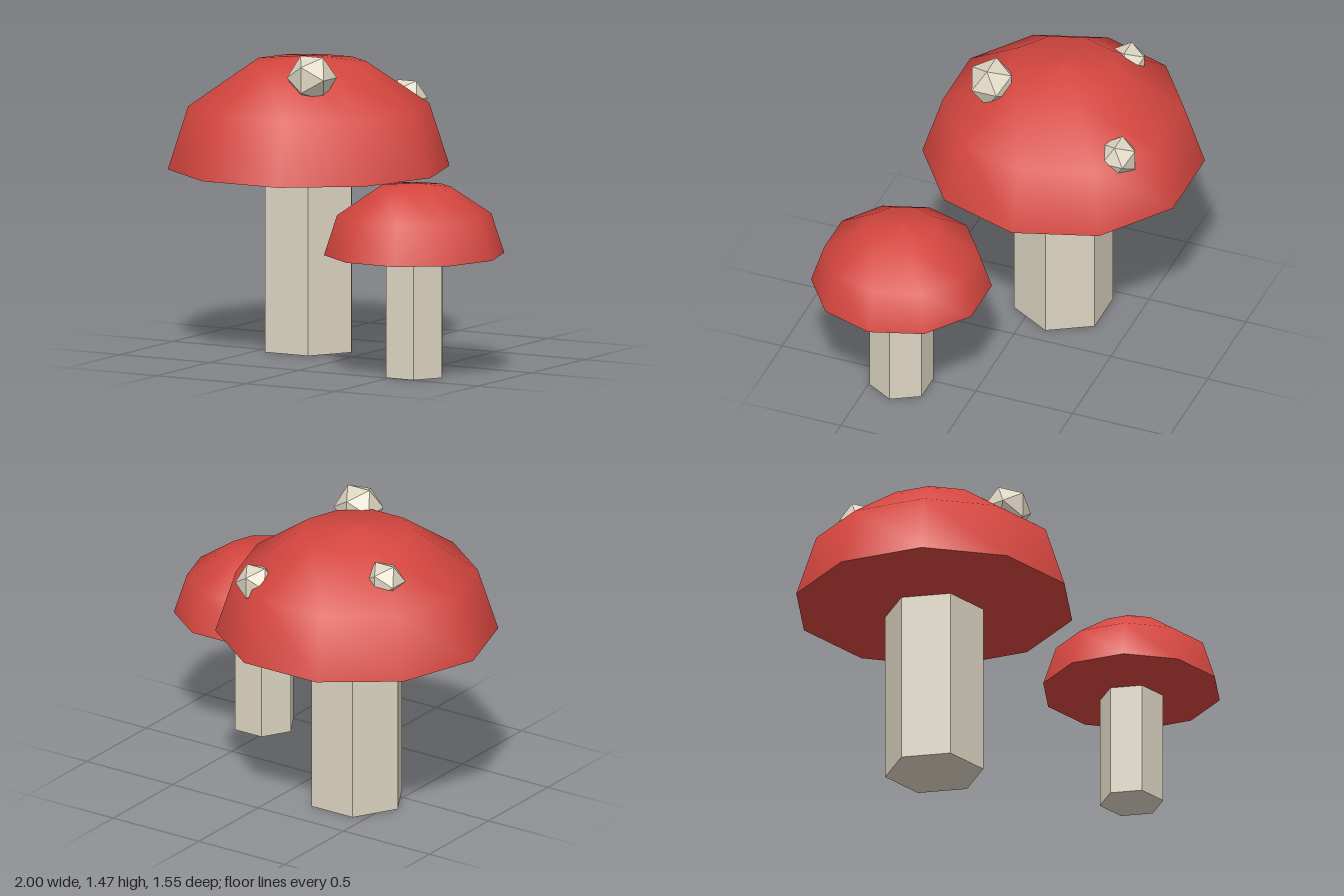
import * as THREE from 'three';

const red = new THREE.MeshStandardMaterial({ color: 0xd4463f });
red.name = 'capRed';
const cream = new THREE.MeshStandardMaterial({ color: 0xddd5c2 });
cream.name = 'stemCream';
const creamFlat = cream;

// Ten-sided surface of revolution with a corner on the x axis
function lathe(points, name) {
  const profile = points.map(([r, y]) => new THREE.Vector2(r, y));
  const mesh = new THREE.Mesh(new THREE.LatheGeometry(profile, 10, Math.PI / 2), red);
  mesh.name = name;
  return mesh;
}

// Mushroom: hexagonal stem, smooth dome and shallow underside
function mushroom(name, x, z, stemR, capR, rimY, domeH) {
  const group = new THREE.Group();
  group.name = name;
  group.position.set(x, 0, z);

  const stemGeo = new THREE.CylinderGeometry(stemR, stemR, rimY, 6, 1, false, Math.PI / 6).toNonIndexed();
  stemGeo.computeVertexNormals();
  const stem = new THREE.Mesh(stemGeo, creamFlat);
  stem.name = 'stem';
  stem.position.y = rimY / 2;

  const dome = lathe([
    [capR, 0], [capR * 0.855, domeH * 0.56], [capR * 0.41, domeH * 0.938], [0, domeH],
  ], 'capDome');
  const underside = lathe([[0, -0.034], [capR * 0.4, -0.034], [capR, 0]], 'capUnderside');
  dome.position.y = underside.position.y = rimY;

  group.add(stem, dome, underside);
  return group;
}

export function createModel() {
  const model = new THREE.Group();
  model.name = 'mushrooms';
  model.add(
    mushroom('largeMushroom', -0.32, -0.13, 0.24, 0.68, 0.88, 0.545),
    mushroom('smallMushroom', 0.56, 0.36, 0.155, 0.435, 0.59, 0.345),
  );

  // Faceted warts on the large cap: radius, x, y, z
  const spots = [
    [0.12, -0.127, 1.368, 0.165],
    [0.1, -0.628, 1.28, -0.34],
    [0.1, -0.012, 1.19, -0.535],
  ];
  spots.forEach(([r, x, y, z], i) => {
    const spot = new THREE.Mesh(new THREE.IcosahedronGeometry(r, 0), creamFlat);
    spot.name = `capSpot${i + 1}`;
    spot.position.set(x, y, z);
    model.add(spot);
  });
  return model;
}
